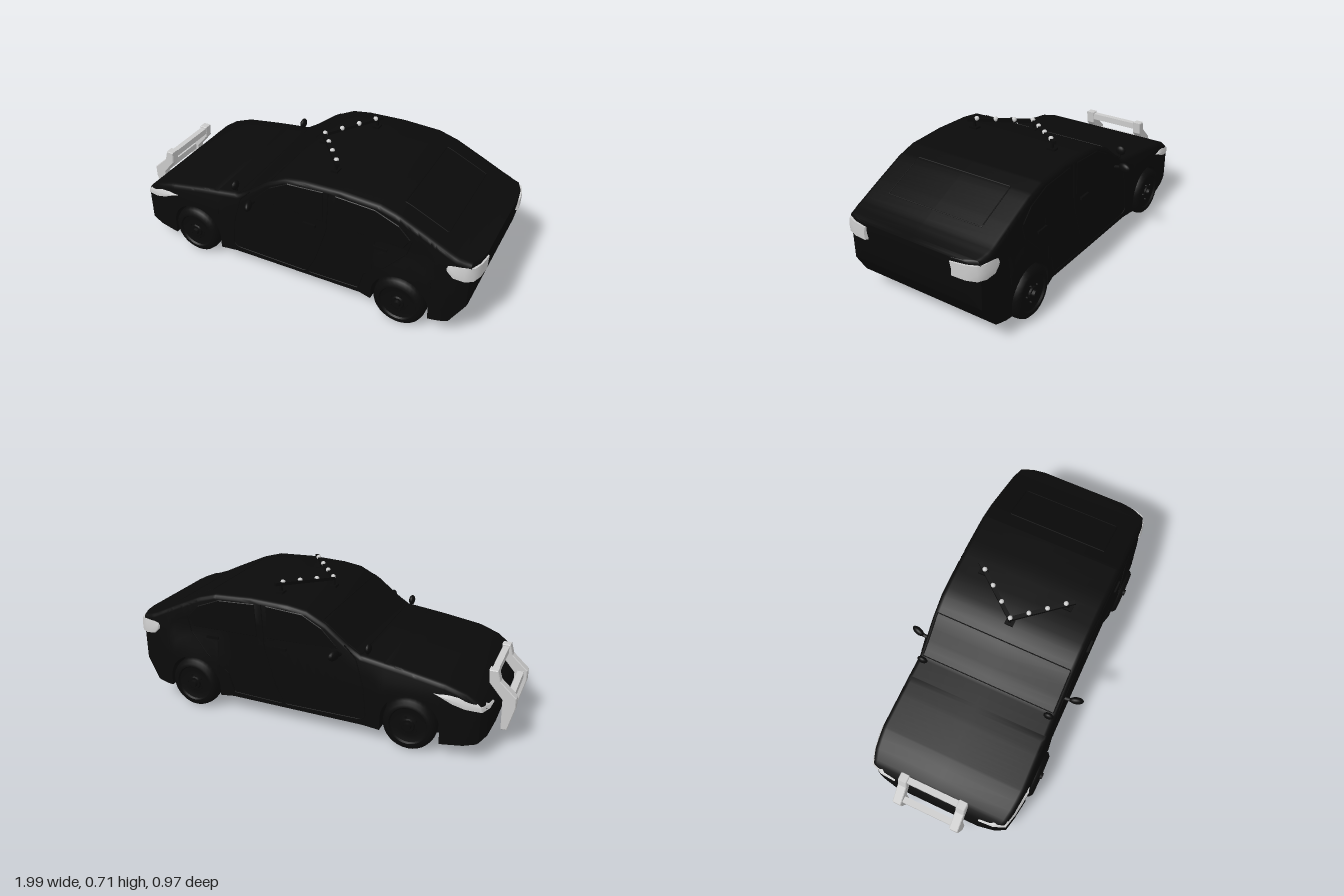
import * as THREE from 'three';
import { toCreasedNormals } from 'three/addons/utils/BufferGeometryUtils.js';

const black = new THREE.MeshStandardMaterial({ color: 0x0a0a0a, side: THREE.DoubleSide });
const grey = new THREE.MeshStandardMaterial({ color: 0xcccccc, side: THREE.DoubleSide });
const V = (x, y, z) => new THREE.Vector3(x, y, z);

// Body curves along x
const TOP = [[-0.92, 0.22], [-0.89, 0.265], [-0.86, 0.295], [-0.8, 0.335], [-0.7, 0.37], [-0.5, 0.405], [-0.28, 0.437],
  [-0.22, 0.475], [-0.1, 0.57], [0, 0.62], [0.1, 0.636], [0.3, 0.645], [0.5, 0.637], [0.6, 0.608], [0.75, 0.54],
  [0.87, 0.483], [0.92, 0.466], [0.985, 0.455]];
const FLOOR = [[-0.92, 0.15], [-0.9, 0.11], [-0.86, 0.08], [-0.8, 0.066], [-0.7, 0.06], [-0.35, 0.07], [0.45, 0.085],
  [0.82, 0.09], [0.88, 0.1], [0.955, 0.22], [0.97, 0.3], [0.985, 0.42]];
const PLAN = [[-0.92, 0.24], [-0.9, 0.33], [-0.87, 0.378], [-0.8, 0.393], [-0.68, 0.41], [-0.4, 0.41], [-0.3, 0.397],
  [0.42, 0.393], [0.5, 0.413], [0.76, 0.413], [0.85, 0.4], [0.95, 0.375], [0.975, 0.32], [0.985, 0.25]];
const AXLES = [-0.54, 0.635], AXLE_Y = 0.133, ARCH = 0.148;

function at(table, x) {
  if (x <= table[0][0]) return table[0][1];
  for (let i = 1; i < table.length; i++) {
    const [x0, y0] = table[i - 1], [x1, y1] = table[i];
    if (x <= x1) return y0 + (y1 - y0) * (x - x0) / (x1 - x0);
  }
  return table[table.length - 1][1];
}

function halfWidth(x, y) {
  const p = at(PLAN, x);
  return THREE.MathUtils.lerp(p, Math.min(p, 0.39), THREE.MathUtils.smoothstep(y, 0.28, 0.45));
}

function add(parent, name, geometry, material = black) {
  const mesh = new THREE.Mesh(geometry, material);
  mesh.name = name;
  parent.add(mesh);
  return mesh;
}

// Skin closed rings of points and cap both ends
function loft(rings, crease = 0.6) {
  const n = rings[0].length, pos = [], idx = [];
  rings.forEach(r => r.forEach(p => pos.push(p.x, p.y, p.z)));
  for (let i = 0; i < rings.length - 1; i++) for (let j = 0; j < n; j++) {
    const a = i * n + j, b = i * n + (j + 1) % n;
    idx.push(a, a + n, b, b, a + n, b + n);
  }
  [0, rings.length - 1].forEach((r, end) => {
    const c = rings[r].reduce((s, p) => s.add(p), V(0, 0, 0)).divideScalar(n);
    const k = pos.push(c.x, c.y, c.z) / 3 - 1;
    for (let j = 0; j < n; j++) {
      const a = r * n + j, b = r * n + (j + 1) % n;
      idx.push(k, end ? b : a, end ? a : b);
    }
  });
  const g = new THREE.BufferGeometry();
  g.setAttribute('position', new THREE.Float32BufferAttribute(pos, 3));
  g.setIndex(idx);
  return toCreasedNormals(g, crease);
}

function bodySection(x) {
  const top = at(TOP, x), floor = at(FLOOR, x);
  let sill = floor;
  AXLES.forEach(c => {
    const d = Math.abs(x - c);
    if (d < ARCH) sill = Math.max(sill, AXLE_Y + Math.sqrt(ARCH * ARCH - d * d));
  });
  const r = Math.min(0.025, (top - sill) / 3), inner = Math.min(0.31, halfWidth(x, sill) - 0.02);
  const half = [[0, floor], [inner, floor], [inner, sill]];
  for (let i = 0; i <= 5; i++) {
    const y = THREE.MathUtils.lerp(sill, top - r, i / 5);
    half.push([halfWidth(x, y), y]);
  }
  const w = halfWidth(x, top - r);
  for (let i = 1; i <= 4; i++) {
    const a = i * Math.PI / 8;
    half.push([w - r + r * Math.cos(a), top - r + r * Math.sin(a)]);
  }
  half.push([0, top]);
  const mirrored = half.slice(1, -1).reverse().map(([z, y]) => [-z, y]);
  return [...half, ...mirrored].map(([z, y]) => V(x, y, z));
}

function bodyGeometry() {
  const xs = [...TOP, ...FLOOR, ...PLAN].map(p => p[0]);
  for (let x = -0.9; x < 0.96; x += 0.05) xs.push(x);
  AXLES.forEach(c => {
    for (let i = 0; i <= 16; i++) xs.push(c - (ARCH - 0.0001) * Math.cos(i * Math.PI / 16));
    xs.push(c - ARCH - 0.001, c + ARCH + 0.001);
  });
  xs.sort((a, b) => a - b);
  return loft(xs.filter((x, i) => !i || x - xs[i - 1] > 1e-5).map(bodySection));
}

const tube = (pts, r = 0.003) => {
  const path = new THREE.CurvePath();
  for (let i = 1; i < pts.length; i++) path.add(new THREE.LineCurve3(pts[i - 1], pts[i]));
  return new THREE.TubeGeometry(path, pts.length * 8, r, 6);
};

function extrude(points, depth) {
  const shape = new THREE.Shape(points.map(p => new THREE.Vector2(...p)));
  return new THREE.ExtrudeGeometry(shape, { depth, bevelEnabled: true, bevelSize: 0.004, bevelThickness: 0.004, bevelSegments: 1 });
}

// Wrap-around lamp: rows of [x, z, lower y, upper y]
function lamp(rows, side, lean) {
  return loft(rows.map(([x, z, lo, hi]) => [
    V(x, lo, z * side), V(x + lean * 0.2, (lo + hi) / 2, (z + 0.002) * side), V(x + lean, hi, (z - 0.006) * side),
    V(x * 0.96, hi, z * 0.9 * side), V(x * 0.96, lo, z * 0.9 * side)]), 0.8);
}

export function createModel() {
  const car = new THREE.Group();
  car.name = 'car';
  add(car, 'body', bodyGeometry());

  const windows = [
    [[-0.17, 0.455], [-0.08, 0.545], [0.02, 0.6], [0.21, 0.615], [0.21, 0.45]],
    [[0.27, 0.45], [0.28, 0.615], [0.48, 0.607], [0.6, 0.56], [0.66, 0.5], [0.63, 0.45]]];
  const seams = [
    [[-0.2, 0.48], [-0.26, 0.42], [-0.3, 0.28], [-0.315, 0.12], [-0.29, 0.1], [0.12, 0.1], [0.17, 0.2], [0.23, 0.4], [0.24, 0.62]],
    [[0.14, 0.1], [0.41, 0.11], [0.44, 0.22], [0.55, 0.31], [0.65, 0.42], [0.67, 0.5]]];

  for (const s of [1, -1]) {
    // Side glass, door gaps and handles
    windows.forEach(w => {
      const glass = add(car, 'sideWindow', extrude(w, 0.004));
      glass.position.z = s * 0.387 - 0.002;
    });
    seams.forEach(line => add(car, 'doorSeam', tube(line.map(([x, y]) => V(x, y, s * halfWidth(x, y))))));
    for (const x of [0.14, 0.52]) {
      add(car, 'doorHandle', new THREE.BoxGeometry(0.07, 0.014, 0.014)).position.set(x, 0.405, s * 0.396);
    }

    // Door mirror
    const mirror = new THREE.Group();
    mirror.name = 'doorMirror';
    const shell = add(mirror, 'mirrorShell', new THREE.SphereGeometry(1, 16, 12));
    shell.scale.set(0.018, 0.025, 0.037);
    shell.rotation.y = s * 0.3;
    shell.position.set(-0.172, 0.446, s * 0.452);
    add(mirror, 'mirrorArm', tube([V(-0.18, 0.43, s * 0.385), V(-0.178, 0.44, s * 0.43)], 0.01));
    car.add(mirror);

    // Small pod lamp at the foot of the windscreen
    const pod = add(car, 'cowlPod', new THREE.SphereGeometry(1, 12, 10));
    pod.scale.set(0.016, 0.026, 0.028);
    pod.position.set(-0.31, 0.466, s * 0.355);
    add(car, 'podStem', new THREE.CylinderGeometry(0.006, 0.008, 0.04, 8)).position.set(-0.305, 0.435, s * 0.355);

    // Lamps
    add(car, 'headlight', lamp([[-0.905, 0.24, 0.25, 0.262], [-0.9, 0.32, 0.25, 0.285], [-0.876, 0.38, 0.25, 0.3],
      [-0.8, 0.401, 0.262, 0.318], [-0.74, 0.41, 0.282, 0.322], [-0.685, 0.415, 0.31, 0.32]], s, 0.035), grey);
    add(car, 'taillight', lamp([[0.85, 0.398, 0.4, 0.43], [0.88, 0.398, 0.372, 0.438], [0.93, 0.391, 0.366, 0.44],
      [0.967, 0.37, 0.366, 0.44], [0.985, 0.32, 0.366, 0.44], [0.993, 0.25, 0.37, 0.438]], s, 0), grey);

    // Wheels: tyre and rim in one turned profile, plus hub and lug nuts
    for (const x of AXLES) {
      const wheel = new THREE.Group();
      wheel.name = 'wheel';
      const profile = [[0, 0], [0.115, 0], [0.13, 0.012], [0.134, 0.035], [0.134, 0.06], [0.128, 0.082], [0.112, 0.095],
        [0.096, 0.095], [0.09, 0.086], [0.06, 0.08], [0.034, 0.084], [0.03, 0.092], [0, 0.092]];
      const tyre = new THREE.LatheGeometry(profile.map(p => new THREE.Vector2(...p)), 32);
      add(wheel, 'tyre', toCreasedNormals(tyre, 0.7));
      add(wheel, 'hub', new THREE.CylinderGeometry(0.016, 0.02, 0.016, 12)).position.y = 0.098;
      for (let i = 0; i < 5; i++) {
        const a = i * Math.PI * 0.4;
        add(wheel, 'lugNut', new THREE.CylinderGeometry(0.005, 0.005, 0.012, 6)).position.set(0.045 * Math.cos(a), 0.085, 0.045 * Math.sin(a));
      }
      wheel.rotation.x = s * Math.PI / 2;
      wheel.position.set(x, 0.134, s * 0.335);
      car.add(wheel);
    }
  }

  // Frames laid over the top of the body: [x start, x end, half width]
  const frames = { windscreenFrame: [-0.28, -0.08, 0.37], rearWindowFrame: [0.58, 0.8, 0.27] };
  for (const [name, [x0, x1, w]] of Object.entries(frames)) {
    const run = [];
    for (let i = 0; i <= 6; i++) {
      const x = THREE.MathUtils.lerp(x0, x1, i / 6);
      run.push(V(x, at(TOP, x), w));
    }
    const back = run.map(p => V(p.x, p.y, -w)).reverse();
    add(car, name, tube([...run, ...back, run[0]]));
  }

  // Push bar at the nose
  const guard = new THREE.Group();
  guard.name = 'pushBar';
  const plate = [[-0.9, 0.382], [-0.865, 0.382], [-0.87, 0.32], [-0.938, 0.24], [-0.942, 0.084], [-0.966, 0.084], [-0.996, 0.2], [-0.996, 0.255], [-0.915, 0.33]];
  for (const z of [-0.196, 0.126]) add(guard, 'pushBarUpright', extrude(plate, 0.04), grey).position.z = z;
  for (const [x, y] of [[-0.882, 0.36], [-0.966, 0.235]]) {
    add(guard, 'pushBarCrossbar', new THREE.BoxGeometry(0.032, 0.035, 0.33), grey).position.set(x, y, -0.015);
  }
  car.add(guard);

  // V-shaped roof light bar
  const rack = new THREE.Group();
  rack.name = 'roofLightBar';
  const onBar = t => V(0.01 + 0.21 * Math.abs(t), 0.667 + 0.023 * Math.abs(t), -0.007 + 0.262 * t);
  for (const s of [1, -1]) {
    const bar = add(rack, 'bar', new THREE.BoxGeometry(0.02, 0.016, onBar(0).distanceTo(onBar(s))));
    bar.position.copy(onBar(s / 2));
    bar.lookAt(onBar(s));
  }
  for (const t of [-0.9, 0, 0.9]) {
    const p = onBar(t);
    add(rack, 'post', new THREE.BoxGeometry(0.012, p.y - 0.62, 0.012)).position.set(p.x, (p.y + 0.62) / 2, p.z);
    add(rack, 'foot', new THREE.BoxGeometry(0.035, 0.012, 0.045)).position.set(p.x, at(TOP, p.x) + 0.004, p.z);
  }
  for (let i = -3; i <= 3; i++) {
    const bulb = add(rack, 'lamp', new THREE.SphereGeometry(0.013, 10, 8), grey);
    bulb.position.copy(onBar(i * 0.285)).add(V(0.004, 0.007, 0));
  }
  car.add(rack);
  return car;
}
